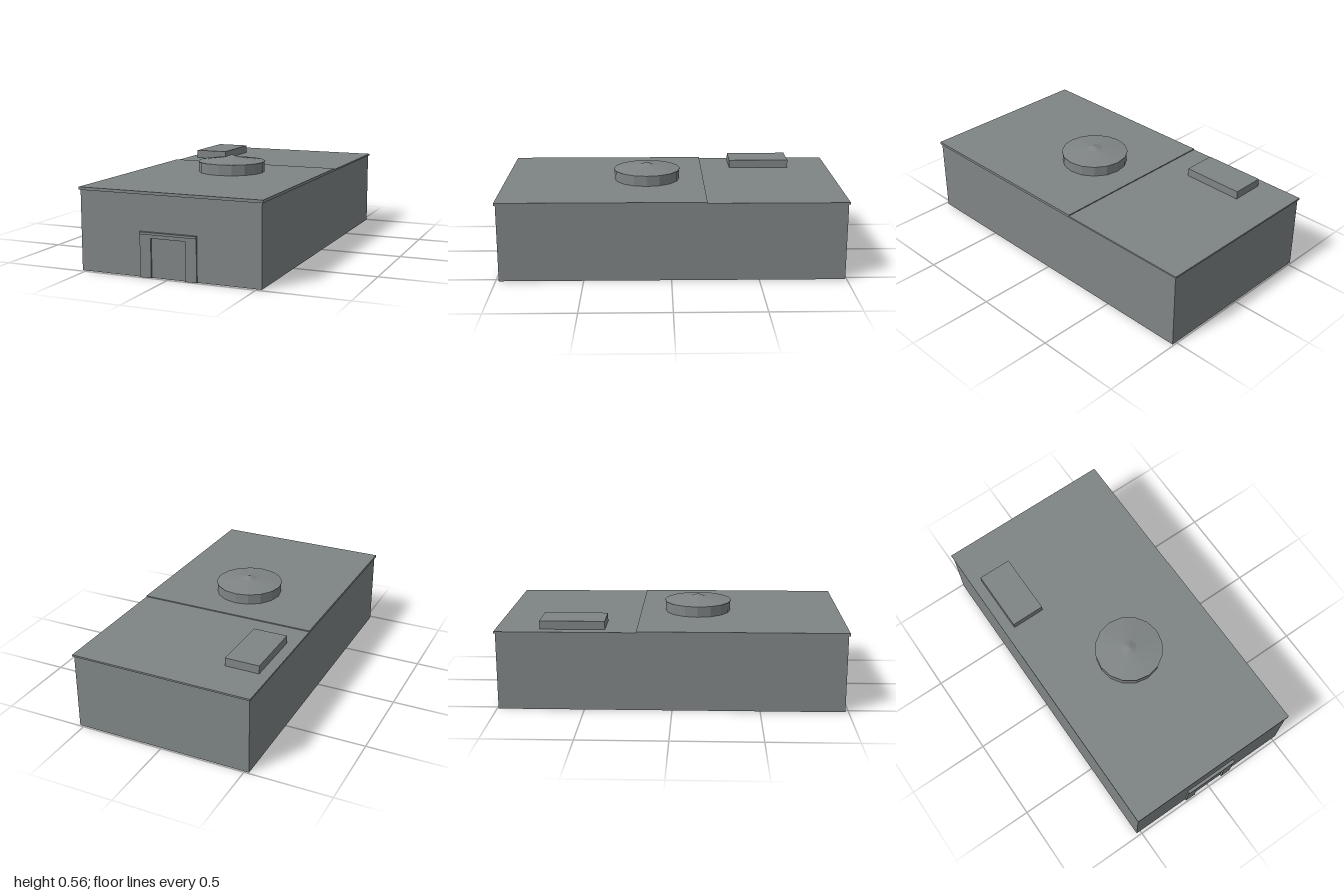
import * as THREE from 'three';

export function createModel() {
  const model = new THREE.Group();
  model.name = 'hall';
  const grey = new THREE.MeshStandardMaterial({ color: 0x7f8484, flatShading: true, side: THREE.DoubleSide });
  grey.name = 'grey';

  const add = (name, geometry, x = 0, y = 0, z = 0, turn = 0) => {
    const mesh = new THREE.Mesh(geometry, grey);
    mesh.name = name;
    mesh.position.set(x, y, z);
    mesh.rotation.y = turn;
    model.add(mesh);
    return mesh;
  };
  // Box given by its lower and upper limits on each axis
  const block = (name, [x0, x1], [y0, y1], [z0, z1]) =>
    add(name, new THREE.BoxGeometry(x1 - x0, y1 - y0, z1 - z0), (x0 + x1) / 2, (y0 + y1) / 2, (z0 + z1) / 2);

  const halfWidth = 0.526, front = 0.982, back = -0.992, split = -0.2;
  const frontEaves = 0.447, backEaves = 0.447;

  // Thin walls of two halls, open at the floor
  const wall = (name, width, height, x, z, turn) =>
    add(name, new THREE.PlaneGeometry(width, height), x, height / 2, z, turn);
  wall('frontWall', halfWidth * 2, frontEaves, 0, front, 0);
  wall('dividingWall', halfWidth * 2, frontEaves, 0, split, 0);
  wall('backWall', halfWidth * 2, backEaves, 0, back, Math.PI);
  for (const [side, label] of [[1, 'left'], [-1, 'right']]) {
    const turn = side * Math.PI / 2;
    wall(label + 'FrontHallWall', front - split, frontEaves, side * halfWidth, (front + split) / 2, turn);
    wall(label + 'BackHallWall', split - back, backEaves, side * halfWidth, (split + back) / 2, turn);
  }

  // Flat roofs, the front one slightly higher
  block('frontRoof', [-0.533, 0.533], [frontEaves, 0.463], [split, 0.99]);
  block('backRoof', [-0.533, 0.533], [backEaves, 0.457], [-1, split]);

  // Doorway: two jambs, a head and a projecting lintel
  for (const side of [1, -1])
    block(side > 0 ? 'leftJamb' : 'rightJamb', side > 0 ? [0.1, 0.165] : [-0.165, -0.1], [0, 0.235], [front, 0.992]);
  block('doorHead', [-0.1, 0.1], [0.215, 0.235], [front, 0.992]);
  block('lintel', [-0.165, 0.165], [0.235, 0.248], [front, 1]);

  // Roof unit
  block('roofUnit', [-0.47, -0.27], [0.457, 0.505], [-0.75, -0.38]);

  // Round skylight drum with a shallow two-pitch cap
  const sides = 16, cz = 0.14;
  add('skylightDrum', new THREE.CylinderGeometry(0.195, 0.195, 0.06, sides, 1, true), 0, 0.493, cz);
  const capProfile = [[0, 0.523], [0.2, 0.523], [0.2, 0.526], [0.045, 0.547], [0, 0.563]]
    .map(([r, y]) => new THREE.Vector2(r, y));
  add('skylightCap', new THREE.LatheGeometry(capProfile, sides), 0, 0, cz);

  return model;
}
